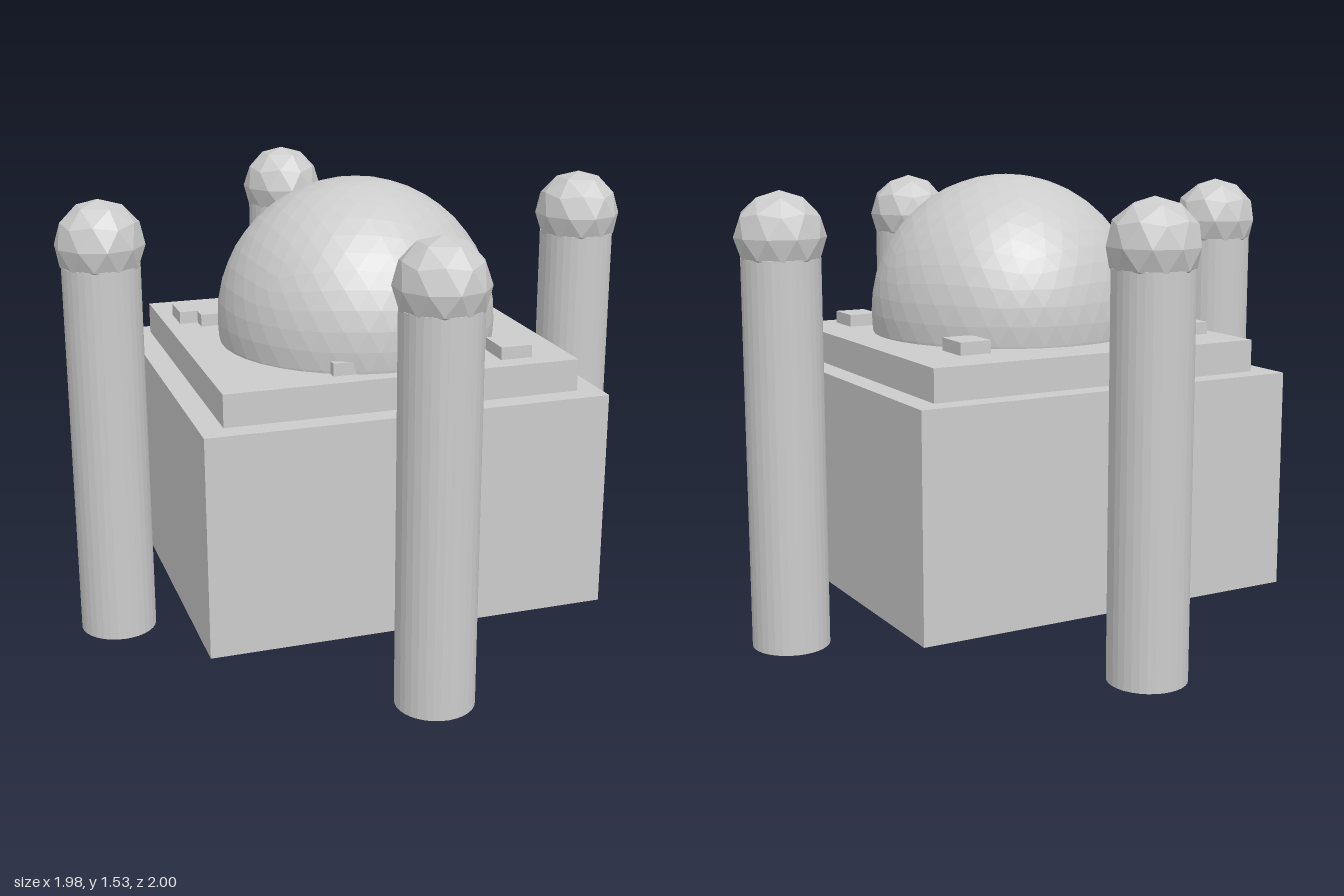
import * as THREE from 'three';

const material = new THREE.MeshStandardMaterial({ color: 0xcccccc, flatShading: true });

function addMesh(parent, name, geometry, x, y, z) {
  const mesh = new THREE.Mesh(geometry, material);
  mesh.name = name;
  mesh.position.set(x, y, z);
  parent.add(mesh);
  return mesh;
}

// Faceted ball turned so that one corner of the icosahedron points straight up
function ballGeometry(radius, detail) {
  const tilt = Math.atan(2 / (1 + Math.sqrt(5)));
  return new THREE.IcosahedronGeometry(radius, detail).rotateZ(-tilt);
}

// Box given by its extents along x and z and its bottom and top heights
function addBlock(parent, name, [x0, x1], [y0, y1], [z0, z1]) {
  const geometry = new THREE.BoxGeometry(x1 - x0, y1 - y0, z1 - z0);
  addMesh(parent, name, geometry, (x0 + x1) / 2, (y0 + y1) / 2, (z0 + z1) / 2);
}

export function createModel() {
  const model = new THREE.Group();
  model.name = 'domedBuilding';

  // Main hall, stepped roof and dome
  addBlock(model, 'hall', [-0.67, 0.67], [0.155, 0.883], [-0.645, 0.645]);
  addBlock(model, 'roofSlab', [-0.592, 0.592], [0.883, 0.99], [-0.57, 0.57]);
  addMesh(model, 'dome', ballGeometry(0.47, 7), 0, 1.06, 0.06);

  // Small blocks on the roof, by corner position
  const blocks = [[0.307, -0.4], [0.35, 0.373], [-0.22, 0.373], [-0.543, -0.385], [-0.48, -0.327]];
  for (const [x, z] of blocks) {
    addBlock(model, 'roofBlock', [x, x + 0.108], [0.95, 1.032], [z, z + 0.128]);
  }

  // Four towers, one in front of each side, topped with faceted balls
  const shaft = new THREE.CylinderGeometry(0.128, 0.128, 1.285, 32);
  const ball = ballGeometry(0.148, 1);
  for (const [x, z] of [[0.85, 0], [-0.85, 0], [0, 0.85], [0, -0.85]]) {
    const tower = new THREE.Group();
    tower.name = 'tower';
    tower.position.set(x, 0, z);
    addMesh(tower, 'towerShaft', shaft, 0, 0.6425, 0);
    addMesh(tower, 'towerBall', ball, 0, 1.35, 0);
    model.add(tower);
  }

  return model;
}
